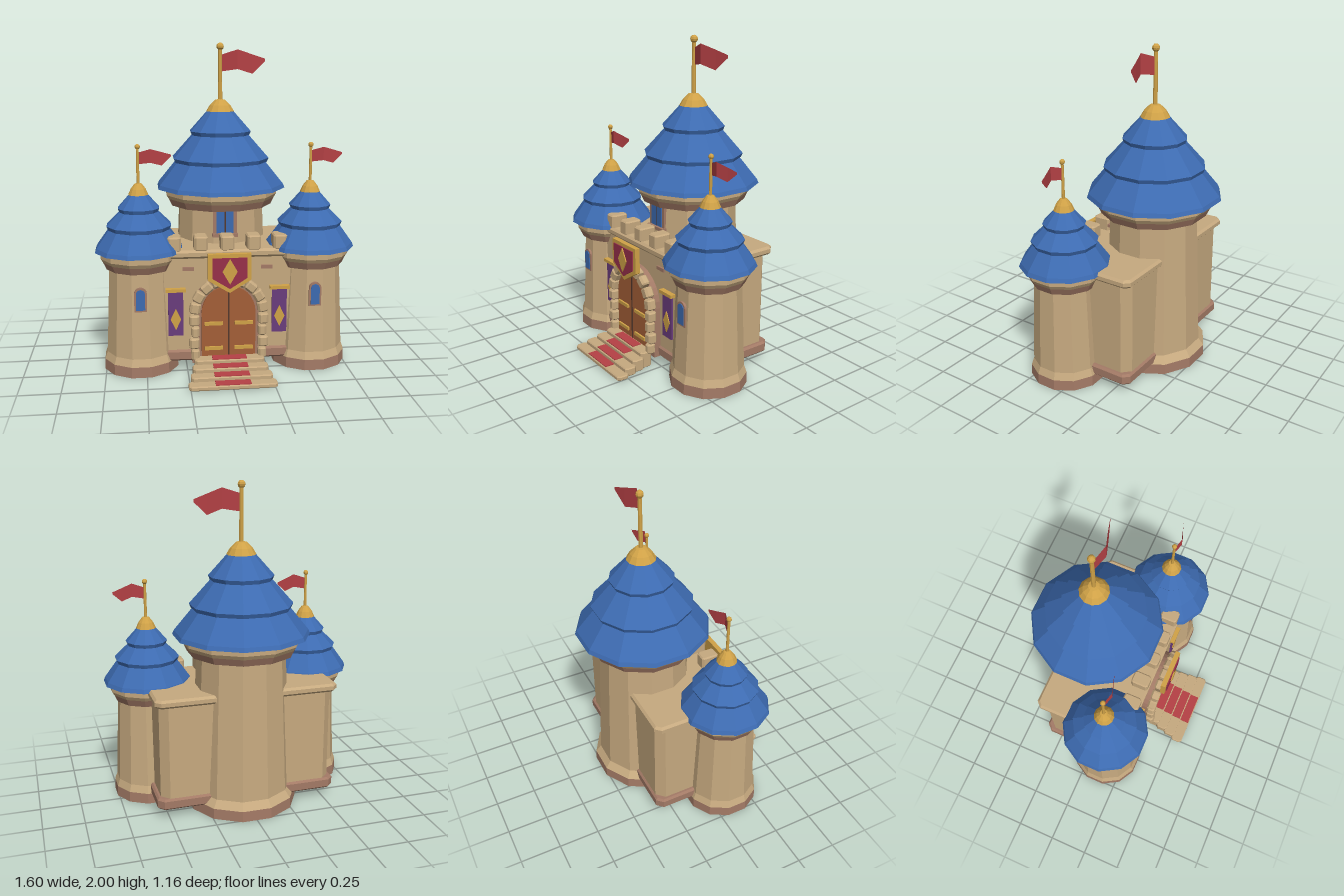
import * as THREE from 'three';

const mat = (name, color) => {
  const m = new THREE.MeshStandardMaterial({ color });
  m.name = name;
  return m;
};

export function createModel() {
  const stone = mat('tan stone', 0xc6a97f), brown = mat('brown stone', 0xa37a66);
  const blue = mat('blue roof', 0x3d6bb1), gold = mat('gold', 0xd0a247);
  const red = mat('red cloth', 0xb54145), crimson = mat('crimson', 0x98304a);
  const purple = mat('purple cloth', 0x6a3c7c), wood = mat('door wood', 0xa45f38);
  const dark = mat('dark gap', 0x54382c);
  // Towers are open underneath and flags are single sheets
  for (const m of [red, stone, brown]) m.side = THREE.DoubleSide;
  const root = new THREE.Group();
  root.name = 'castle';

  // Facetted mesh: every face gets its own normal
  const add = (parent, name, geo, material, x = 0, y = 0, z = 0) => {
    const g = geo.index ? geo.toNonIndexed() : geo;
    g.computeVertexNormals();
    const m = new THREE.Mesh(g, material);
    m.name = name;
    m.position.set(x, y, z);
    parent.add(m);
    return m;
  };
  const group = (name, x = 0, y = 0, z = 0) => {
    const g = new THREE.Group();
    g.name = name;
    g.position.set(x, y, z);
    root.add(g);
    return g;
  };
  // Twelve-sided turned part; radii are measured to the flat sides
  const turned = (pts) => new THREE.LatheGeometry(
    pts.map(([r, y]) => new THREE.Vector2(r / Math.cos(Math.PI / 12), y)), 12, Math.PI / 12);
  const polygon = (pts) => new THREE.Shape(pts.map(([x, y]) => new THREE.Vector2(x, y)));
  const plate = (shape, depth) => new THREE.ExtrudeGeometry(shape, { depth, bevelEnabled: false, curveSegments: 8 });
  const diamond = (w, h) => polygon([[w, 0], [0, h], [-w, 0], [0, -h]]);
  const archShape = (r, y0, spring) => {
    const s = new THREE.Shape();
    s.moveTo(-r, y0);
    s.lineTo(r, y0);
    s.lineTo(r, spring);
    s.absarc(0, spring, r, 0, Math.PI, false);
    s.closePath();
    return s;
  };
  // Block standing on y = 0 with cut upright corners (c) and bevelled rims (b)
  const block = (w, h, d, c = 0.012, b = 0.008) => {
    const x = w / 2 - b, z = d / 2 - b;
    const s = polygon([[x, c - z], [x, z - c], [x - c, z], [c - x, z], [-x, z - c], [-x, c - z], [c - x, -z], [x - c, -z]]);
    return new THREE.ExtrudeGeometry(s, {
      depth: h - 2 * b, bevelEnabled: b > 0, bevelSize: b, bevelThickness: b, bevelSegments: 1,
    }).rotateX(-Math.PI / 2).translate(0, b, 0);
  };

  // Waving pennant: [x, bottom, top, z] stations
  const flag = () => {
    const st = [[0, -0.055, 0.05, 0], [0.1, -0.04, 0.082, 0.034], [0.2, -0.07, 0.051, 0], [0.285, 0.008, 0.024, -0.025]];
    const p = [];
    for (let i = 0; i < 3; i++) {
      const [a, b] = [st[i], st[i + 1]];
      p.push(a[0], a[1], a[3], b[0], b[1], b[3], b[0], b[2], b[3]);
      p.push(a[0], a[1], a[3], b[0], b[2], b[3], a[0], a[2], a[3]);
    }
    return new THREE.BufferGeometry().setAttribute('position', new THREE.Float32BufferAttribute(p, 3));
  };

  // Round tower with flared foot, corbel ring, three-tier roof and pennant
  const tower = (name, x, z, o) => {
    const g = group(name, x, 0, z);
    const { foot, bottom, top, ring, y, tiers, cap, poleTop, s } = o;
    add(g, 'towerBase', turned([[foot, 0], [foot - 0.002, 0.066]]), brown);
    add(g, 'towerBody', turned([[foot - 0.002, 0.066], [bottom, 0.112], [top, y - 0.1]]), stone);
    add(g, 'corbel', turned([[top - 0.01, y - 0.108], [ring - 0.034, y - 0.108], [ring - 0.014, y - 0.064]]), brown);
    add(g, 'parapet', turned([[ring - 0.014, y - 0.064], [ring, y - 0.04], [ring, y + 0.005]]), stone);
    // Every tier has a thick lip; the upper two turn in underneath
    const profile = [[0, y]];
    tiers.forEach(([r, ry, rTop, yTop], i) => profile.push(
      [i ? r - 0.01 : r, ry], [i ? r : r - 0.01, ry + 0.025], [rTop, yTop]));
    add(g, 'roof', turned(profile), blue);
    const [cr, cy, ch] = cap;
    add(g, 'roofCap', turned([[cr - 0.02, cy - 0.004], [cr, cy], [cr * 0.74, cy + ch * 0.5], [cr * 0.36, cy + ch * 0.93], [0, cy + ch]]), gold);
    const h = poleTop - cy;
    add(g, 'flagPole', new THREE.CylinderGeometry(0.0125 * s, 0.0145 * s, h, 8), gold, 0, cy + h / 2 - 0.02, 0);
    add(g, 'poleBall', new THREE.SphereGeometry(0.024 * s, 8, 6), gold, 0, poleTop - 0.024 * s, 0);
    const f = add(g, 'flag', flag(), red, 0.008, poleTop - 0.125 * s, 0);
    f.scale.setScalar(s);
    return g;
  };

  const keep = tower('mainTower', 0, -0.178, {
    foot: 0.337, bottom: 0.302, top: 0.265, ring: 0.353, y: 1.085,
    tiers: [[0.405, 1.085, 0.28, 1.255], [0.304, 1.25, 0.175, 1.425], [0.192, 1.42, 0.08, 1.575]],
    cap: [0.087, 1.57, 0.078], poleTop: 2, s: 1,
  });
  // Twin window of the main tower
  add(keep, 'windowFrame', new THREE.BoxGeometry(0.15, 0.175, 0.03), brown, 0, 0.905, 0.268);
  add(keep, 'windowSill', new THREE.BoxGeometry(0.16, 0.02, 0.05), brown, 0, 0.822, 0.275);
  for (const x of [-0.028, 0.028]) {
    add(keep, 'windowPane', new THREE.BoxGeometry(0.05, 0.15, 0.008), blue, x, 0.91, 0.284);
  }
  add(keep, 'windowMullion', new THREE.BoxGeometry(0.008, 0.15, 0.008), dark, 0, 0.91, 0.285);

  for (const side of [-1, 1]) {
    const t = tower(side > 0 ? 'leftTower' : 'rightTower', side * 0.532, 0.108, {
      foot: 0.228, bottom: 0.21, top: 0.186, ring: 0.235, y: 0.748,
      tiers: [[0.268, 0.748, 0.18, 0.885], [0.195, 0.88, 0.112, 0.99], [0.125, 0.985, 0.052, 1.095]],
      cap: [0.06, 1.09, 0.072], poleTop: 1.398, s: 0.68,
    });
    add(t, 'windowFrame', plate(archShape(0.038, 0.41, 0.522), 0.025), brown, 0, 0, 0.18);
    add(t, 'windowPane', plate(archShape(0.027, 0.421, 0.521), 0.006), blue, 0, 0, 0.204);
  }

  // Wall block between the towers
  const wall = group('wall', 0, 0, -0.053);
  add(wall, 'wallPlinth', block(1.14, 0.07, 0.61, 0.03, 0.012), brown, 0, 0.062, 0);
  add(wall, 'wallBody', block(1.09, 0.61, 0.585, 0.05, 0), stone, 0, 0.12, 0);
  add(wall, 'wallCap', block(1.148, 0.052, 0.63, 0.025, 0.014), stone, 0, 0.715, 0);
  for (let i = -2; i <= 2; i++) {
    add(wall, 'merlon', block(0.084, 0.09, 0.115, 0.008, 0.008), stone, i * 0.162, 0.758, 0.252);
  }
  for (const side of [-1, 1]) {
    add(wall, 'wallBrick', new THREE.BoxGeometry(0.07, 0.022, 0.02), brown, side * 0.24, 0.65, 0.295);
  }

  // Gate: brown surround, double door and arch stones
  const gate = group('gate');
  const spring = 0.385;
  add(gate, 'gateSurround', plate(archShape(0.222, 0.06, spring), 0.085), brown, 0, 0, 0.2);
  add(gate, 'door', plate(archShape(0.165, 0.09, spring), 0.03), wood, 0, 0, 0.27);
  add(gate, 'doorGap', new THREE.BoxGeometry(0.01, 0.45, 0.006), dark, 0, 0.315, 0.301);
  for (const side of [-1, 1]) {
    for (const y of [0.16, 0.318]) {
      add(gate, 'doorHinge', new THREE.BoxGeometry(0.112, 0.021, 0.016), gold, side * 0.092, y, 0.304);
    }
    for (let i = 0; i < 4; i++) {
      const w = i % 2 ? 0.062 : 0.05;
      add(gate, 'jambStone', block(w, 0.064, 0.058, 0.008), stone, side * (0.18 + w / 2), 0.094 + i * 0.073, 0.304);
    }
  }
  for (let i = 0; i < 9; i++) {
    const a = Math.PI * (i + 0.5) / 9;
    const v = add(gate, 'archStone', block(0.064, 0.066, 0.058, 0.008).translate(0, -0.033, 0), stone,
      Math.cos(a) * 0.209, spring + Math.sin(a) * 0.209, 0.304);
    v.rotation.z = a;
  }

  // Shield over the gate
  const shield = group('shield', 0, 0, 0.325);
  add(shield, 'shieldRim', plate(polygon([[-0.13, 0.765], [-0.13, 0.605], [0, 0.525], [0.13, 0.605], [0.13, 0.765]]), 0.032), gold);
  add(shield, 'shieldField', plate(polygon([[-0.105, 0.742], [-0.105, 0.618], [0, 0.552], [0.105, 0.618], [0.105, 0.742]]), 0.008), crimson, 0, 0, 0.031);
  add(shield, 'shieldDiamond', plate(diamond(0.045, 0.078), 0.008), gold, 0, 0.66, 0.038);

  // Hanging banners
  for (const side of [-1, 1]) {
    const b = group('banner', side * 0.32, 0, 0.25);
    add(b, 'bannerCloth', new THREE.BoxGeometry(0.092, 0.285, 0.012), purple, 0, 0.375, 0.004);
    add(b, 'bannerRod', new THREE.BoxGeometry(0.122, 0.02, 0.034), gold, 0, 0.522, 0.008);
    add(b, 'bannerDiamond', plate(diamond(0.032, 0.068), 0.006), gold, 0, 0.338, 0.01);
  }

  // Stairs with a red runner on each tread
  const stairs = group('stairs');
  [[0.262, 0.575], [0.244, 0.508], [0.228, 0.441], [0.213, 0.374]].forEach(([half, front], i) => {
    const d = 0.08, top = 0.034 + i * 0.025;
    add(stairs, 'step', block(half * 2, top - 0.006, d, 0.012, 0.006), stone, 0, 0.006, front - d / 2);
    add(stairs, 'runner', new THREE.BoxGeometry(0.21, 0.006, 0.06), red, 0, top + 0.002, front - 0.036);
  });
  return root;
}
